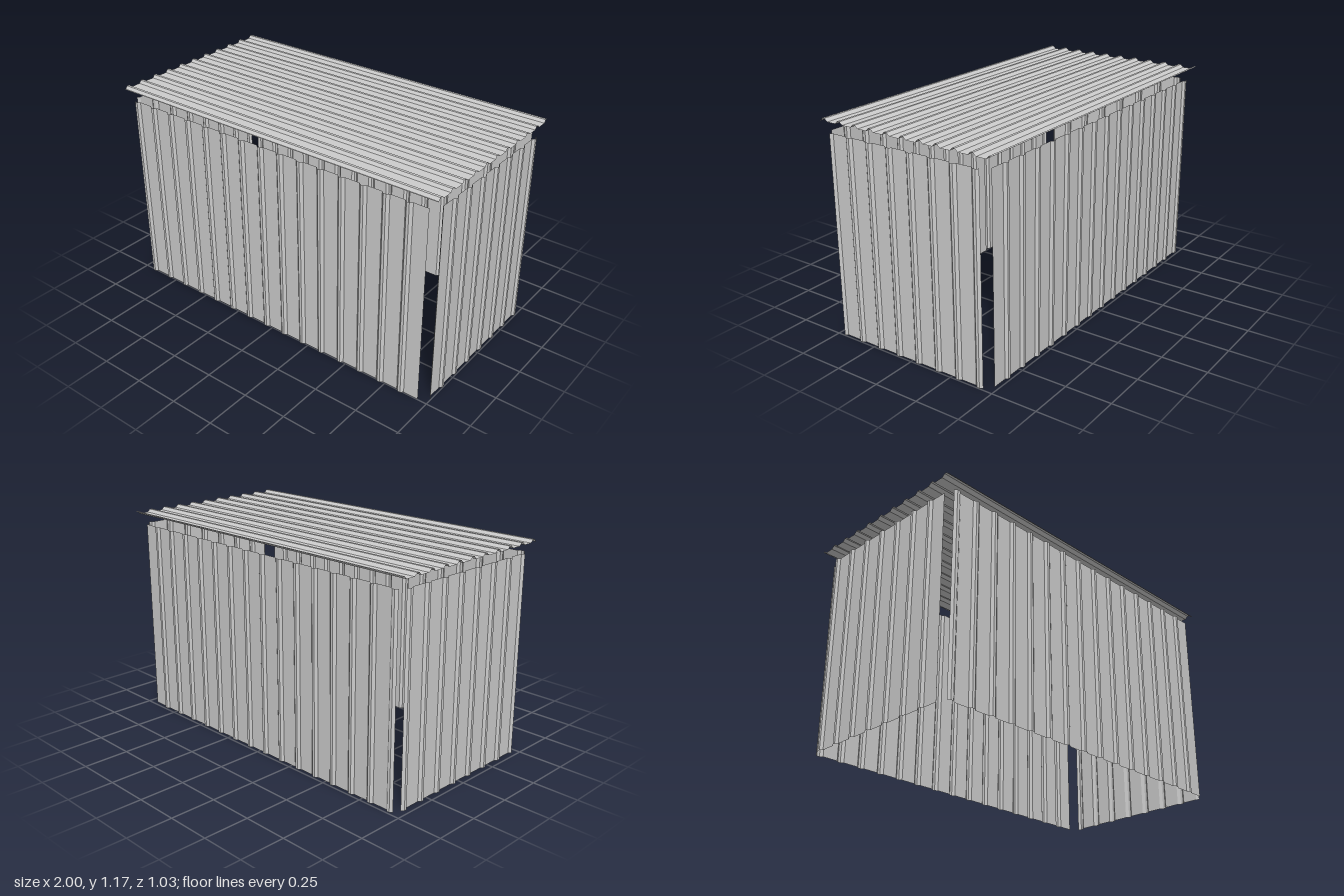
import * as THREE from 'three';

const material = new THREE.MeshStandardMaterial({
  color: 0xcccccc, flatShading: true, side: THREE.DoubleSide,
});

// Trapezoid ribs along u: each rib rises, runs flat on top and falls again
function ribs(first, pitch, count, [rise, top, fall], height) {
  const points = [];
  for (let i = 0; i < count; i++) {
    const u = first + i * pitch;
    points.push([u, 0], [u + rise, height], [u + rise + top, height], [u + rise + top + fall, 0]);
  }
  return points;
}

// Thin sheet: profile of (u, h) points swept by length along v, placed on the given axes
function sheet(name, profile, length, u, v, h) {
  const positions = [];
  for (let i = 0; i < profile.length - 1; i++) {
    const [u0, h0] = profile[i];
    const [u1, h1] = profile[i + 1];
    positions.push(u0, 0, h0, u1, 0, h1, u1, length, h1);
    positions.push(u0, 0, h0, u1, length, h1, u0, length, h0);
  }
  const geometry = new THREE.BufferGeometry();
  geometry.setAttribute('position', new THREE.Float32BufferAttribute(positions, 3));
  geometry.applyMatrix4(new THREE.Matrix4().makeBasis(
    new THREE.Vector3(...u), new THREE.Vector3(...v), new THREE.Vector3(...h)));
  geometry.computeVertexNormals();
  const mesh = new THREE.Mesh(geometry, material);
  mesh.name = name;
  return mesh;
}

export function createModel() {
  const group = new THREE.Group();
  group.name = 'corrugatedShed';
  const wallHeight = 1.1;
  const pitch = 0.1263;
  const wallRib = [0.013, 0.015, 0.014];
  const depth = 0.012;

  // Long walls: ribs start at the -x end, flat strip at the +x end
  const longProfile = [...ribs(-0.947, pitch, 15, wallRib, depth), [0.947, 0]];
  const frontWall = sheet('frontWall', longProfile, wallHeight, [1, 0, 0], [0, 1, 0], [0, 0, 1]);
  frontWall.position.z = 0.497;
  const backWall = frontWall.clone();
  backWall.name = 'backWall';
  backWall.scale.z = -1;
  backWall.position.z = -0.477;

  // End walls: begin on the falling side of a rib and finish with a full rib
  const endProfile = [[-0.459, depth], [-0.445, 0], ...ribs(-0.361, pitch, 7, wallRib, depth)];
  const leftWall = sheet('leftWall', endProfile, wallHeight, [0, 0, -1], [0, 1, 0], [1, 0, 0]);
  leftWall.position.x = 0.985;
  const rightWall = leftWall.clone();
  rightWall.name = 'rightWall';
  rightWall.scale.x = -1;
  rightWall.position.x = -0.962;

  // Roof floats above the walls; its last rib is cut off at the top
  const roofProfile = [[-0.516, 0], ...ribs(-0.51, 0.1, 11, [0.012, 0.014, 0.018], 0.015)];
  roofProfile.pop();
  const roof = sheet('roof', roofProfile, 2, [0, 0, -1], [-1, 0, 0], [0, 1, 0]);
  roof.position.set(1, 1.158, 0);

  group.add(frontWall, backWall, leftWall, rightWall, roof);
  return group;
}
